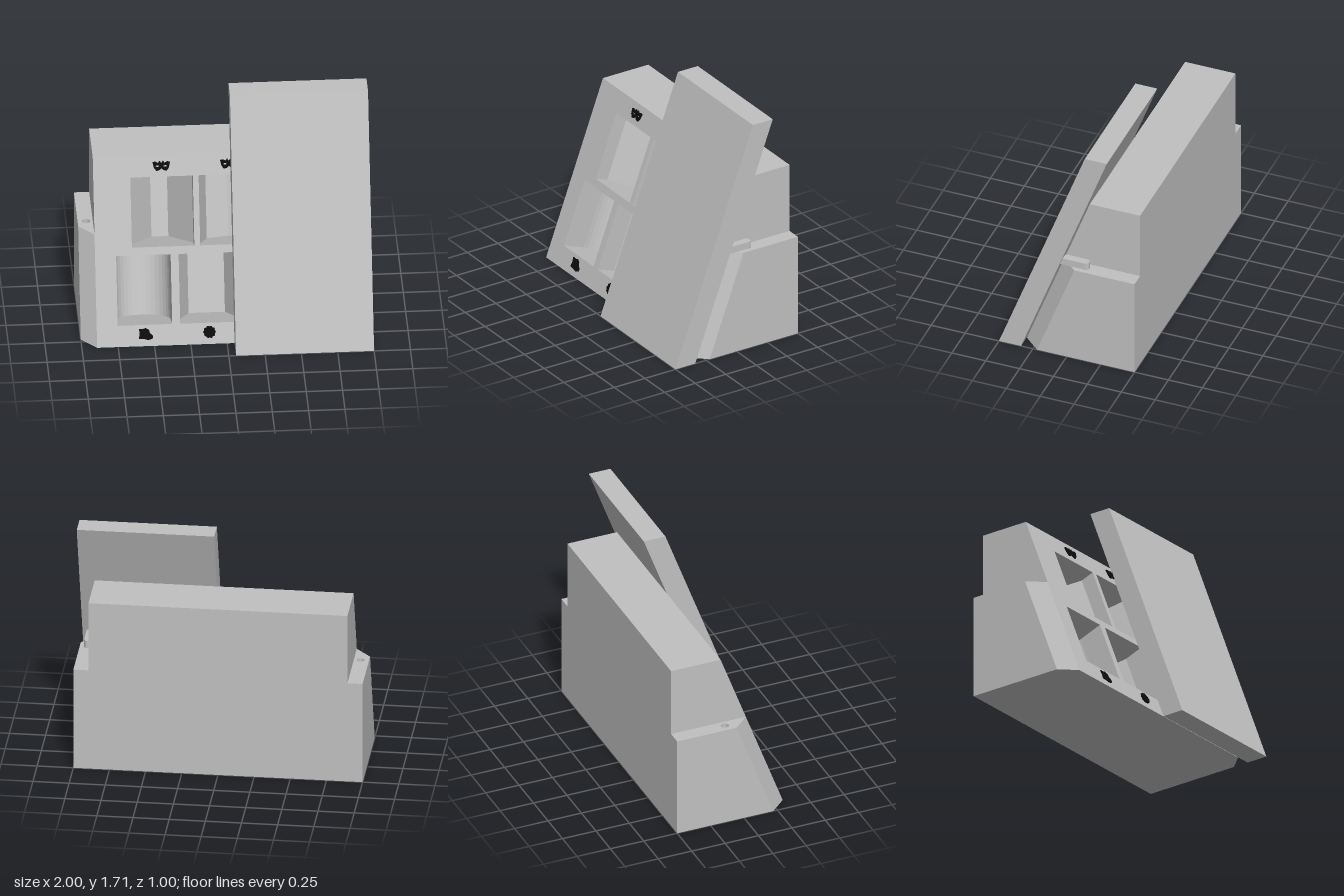
import * as THREE from 'three';

const LEAN = 0.37; // how far the sloped front moves back per unit of height
const ANGLE = Math.atan(LEAN);
const FRONT = 0.335, TOP = 1.255, SHOULDER = 0.745;
const slope = (y) => y / Math.cos(ANGLE); // height -> distance along the slope

// Flat-shaded geometry from convex polygons
function polygons(list) {
  const pos = [];
  for (const p of list) {
    for (let i = 1; i < p.length - 1; i++) pos.push(...p[0], ...p[i], ...p[i + 1]);
  }
  const g = new THREE.BufferGeometry();
  g.setAttribute('position', new THREE.Float32BufferAttribute(pos, 3));
  g.computeVertexNormals();
  return g;
}

// Six-sided block with a leaning front; faces can be left out by name
function block({ x0, x1, f0, f1, back, h, backLean = 0, skip = [] }) {
  const ring = (y) => [
    [x0, y, f0 - LEAN * y], [x1, y, f1 - LEAN * y],
    [x1, y, back - backLean * y], [x0, y, back - backLean * y],
  ];
  const [A, B, C, D] = ring(0), [a, b, c, d] = ring(h);
  const faces = {
    front: [A, B, b, a], right: [B, C, c, b], back: [C, D, d, c],
    left: [D, A, a, d], top: [a, b, c, d], bottom: [D, C, B, A],
  };
  return polygons(Object.keys(faces).filter((k) => !skip.includes(k)).map((k) => faces[k]));
}

// Pocket lining: plan section of [x, depth] points swept along the slope
function pocket(plan, v0, v1) {
  const at = (v) => plan.map(([x, d]) => [x, v, -d]);
  const lo = at(v0), hi = at(v1);
  const list = [[...lo].reverse(), hi];
  for (let i = 0; i < plan.length - 1; i++) list.push([lo[i], lo[i + 1], hi[i + 1], hi[i]]);
  return polygons(list);
}

// Plan sections of the pockets
const tapered = (cx, w, straight, backW, depth) => [
  [cx - w, 0], [cx - w, straight], [cx - backW, depth],
  [cx + backW, depth], [cx + w, straight], [cx + w, 0],
];
const vee = (cx) => [
  [cx - 0.21, 0], [cx - 0.21, 0.05], [cx - 0.15, 0.24], [cx, 0.3],
  [cx + 0.15, 0.24], [cx + 0.21, 0.05], [cx + 0.21, 0],
];
function rounded(cx) {
  const r = 0.1875, pts = [[cx - r, 0]];
  for (let i = 0; i <= 18; i++) {
    const t = Math.PI * (1 - i / 18);
    pts.push([cx + r * Math.cos(t), 0.175 + r * Math.sin(t)]);
  }
  return [...pts, [cx + r, 0]];
}

// Small dark emblems
function maskShape() {
  const half = [[0, 0.018], [0.012, 0.036], [0.022, 0.02], [0.042, 0.03], [0.06, 0.026],
    [0.052, -0.012], [0.035, -0.036], [0.014, -0.03], [0, -0.016]];
  const left = half.slice(1, -1).reverse().map(([x, y]) => [-x, y]);
  const s = new THREE.Shape([...half, ...left].map(([x, y]) => new THREE.Vector2(x, y)));
  for (const m of [-1, 1]) {
    s.holes.push(new THREE.Path().absellipse(m * 0.027, -0.002, 0.012, 0.006, 0, Math.PI * 2));
  }
  return s;
}
function scallopShape() {
  const pts = [];
  for (let i = 0; i < 48; i++) {
    const t = (i / 48) * Math.PI * 2, r = 0.041 + 0.003 * Math.cos(t * 10);
    pts.push(new THREE.Vector2(r * Math.cos(t), r * Math.sin(t)));
  }
  return new THREE.Shape(pts);
}
function blobShape() {
  const pts = [[-0.046, -0.03], [-0.01, -0.034], [0.022, -0.042], [0.05, -0.03], [0.05, -0.012],
    [0.03, 0.006], [0.024, 0.03], [0, 0.042], [-0.02, 0.034], [-0.046, 0.038], [-0.04, 0.005]];
  return new THREE.Shape(pts.map(([x, y]) => new THREE.Vector2(x, y)));
}

export function createModel() {
  const grey = new THREE.MeshStandardMaterial({ color: 0xc0c0c0, side: THREE.DoubleSide });
  grey.name = 'light grey';
  const black = new THREE.MeshStandardMaterial({ color: 0x0c0c0c });
  black.name = 'black';

  const model = new THREE.Group();
  model.name = 'slopedHolder';
  const add = (parent, name, geometry, material = grey) => {
    const m = new THREE.Mesh(geometry, material);
    m.name = name;
    parent.add(m);
    return m;
  };

  // Body shell; its front is the pierced panel below
  add(model, 'body', block({
    x0: -0.895, x1: 0.895, f0: FRONT, f1: FRONT, back: -0.5, h: TOP, skip: ['front'],
  }));

  // Sloped front with pockets
  const face = new THREE.Group();
  face.name = 'slopedFront';
  face.position.z = FRONT;
  face.rotation.x = -ANGLE;
  model.add(face);

  const panel = new THREE.Shape([
    [-0.895, 0], [0.895, 0], [0.895, slope(TOP)], [-0.895, slope(TOP)],
  ].map(([x, y]) => new THREE.Vector2(x, y)));

  const rows = [
    { y0: 0.65, y1: 1.11, plans: [tapered(-0.425, 0.215, 0.1, 0.058, 0.36), vee(0.04),
      tapered(0.505, 0.215, 0.1, 0.058, 0.36)] },
    { y0: 0.14, y1: 0.598, plans: [rounded(-0.5625), tapered(-0.115, 0.205, 0.14, 0.125, 0.36),
      rounded(0.33)] },
  ];
  for (const { y0, y1, plans } of rows) {
    const v0 = slope(y0), v1 = slope(y1);
    for (const plan of plans) {
      const l = plan[0][0], r = plan[plan.length - 1][0];
      panel.holes.push(new THREE.Path([[l, v0], [l, v1], [r, v1], [r, v0]]
        .map(([x, y]) => new THREE.Vector2(x, y))));
      add(face, 'pocket', pocket(plan, v0, v1));
    }
  }
  add(face, 'frontPanel', new THREE.ShapeGeometry(panel));

  // Emblems above and below the pockets
  const emblems = [
    [maskShape(), -0.425, 1.182], [maskShape(), 0.04, 1.182],
    [blobShape(), -0.56, 0.08], [scallopShape(), -0.12, 0.08],
  ];
  for (const [shape, x, y] of emblems) {
    const g = new THREE.ExtrudeGeometry(shape, { depth: 0.008, bevelEnabled: false });
    add(face, 'emblem', g, black).position.set(x, slope(y), 0);
  }

  // Low side shoulders with chamfered fronts and a hinge socket
  const hingeX = 0.942, hingeZ = -0.118, r = 0.027;
  for (const s of [-1, 1]) {
    const inner = FRONT, outer = 0.22;
    const [x0, x1] = s < 0 ? [-1, -0.895] : [0.895, 1];
    const [f0, f1] = s < 0 ? [outer, inner] : [inner, outer];
    add(model, 'shoulder', block({ x0, x1, f0, f1, back: -0.5, h: SHOULDER, skip: ['top'] }));
    const drop = LEAN * SHOULDER;
    const top = new THREE.Shape([[x0, drop - f0], [x1, drop - f1], [x1, 0.5], [x0, 0.5]]
      .map(([x, y]) => new THREE.Vector2(x, y)));
    top.holes.push(new THREE.Path().absarc(s * hingeX, -hingeZ, r, 0, Math.PI * 2));
    add(model, 'shoulderTop', new THREE.ShapeGeometry(top, 16)
      .rotateX(-Math.PI / 2).translate(0, SHOULDER, 0));
    add(model, 'hingeSocket', new THREE.CylinderGeometry(r, r, 0.1, 32, 1, true))
      .position.set(s * hingeX, SHOULDER - 0.05, hingeZ);
    add(model, 'socketFloor', new THREE.CircleGeometry(r, 32).rotateX(-Math.PI / 2))
      .position.set(s * hingeX, SHOULDER - 0.1, hingeZ);
  }

  // Leaning door covering the right-hand half
  add(model, 'door', block({
    x0: 0.05, x1: 1, f0: 0.5, f1: 0.5, back: 0.338, h: 1.71, backLean: LEAN,
  }));

  // Hinge arm with a rounded end, and its pin
  const arm = new THREE.Shape();
  arm.moveTo(hingeX - r, -0.07);
  arm.lineTo(hingeX + r, -0.07);
  arm.lineTo(hingeX + r, -hingeZ);
  arm.absarc(hingeX, -hingeZ, r, 0, Math.PI);
  arm.closePath();
  add(model, 'hingeArm', new THREE.ExtrudeGeometry(arm, { depth: 0.051, bevelEnabled: false })
    .rotateX(-Math.PI / 2).translate(0, SHOULDER + 0.003, 0));
  add(model, 'hingePin', new THREE.CylinderGeometry(0.024, 0.024, 0.09, 24))
    .position.set(hingeX, SHOULDER - 0.04, hingeZ);

  return model;
}
